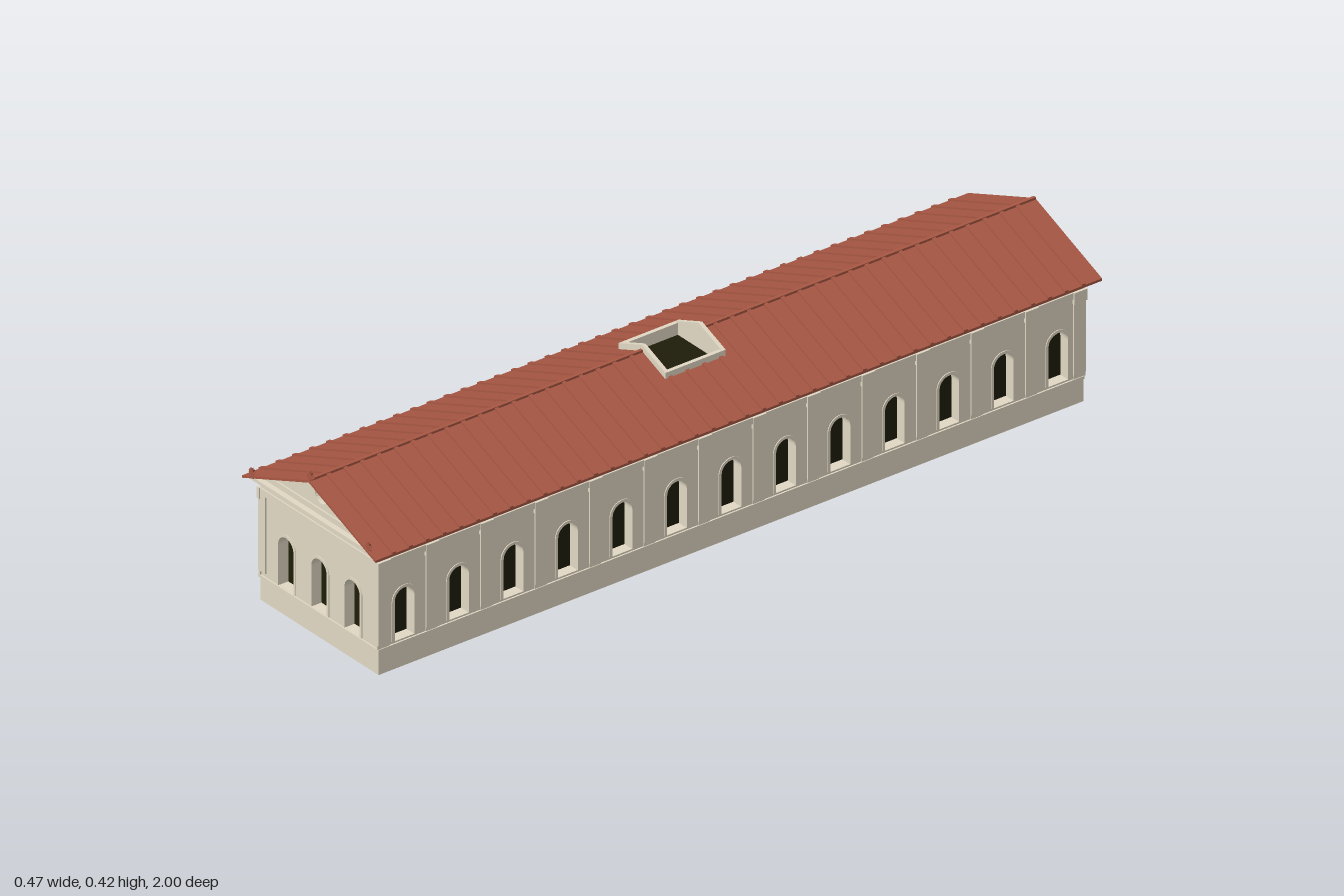
import * as THREE from 'three';

const mat = (name, color) => {
  const m = new THREE.MeshStandardMaterial({ color });
  m.name = name;
  return m;
};

export function createModel() {
  const stone = mat('stone', 0xe1d8c3);
  const tile = mat('terracotta', 0xa85743);
  const dark = mat('dark opening', 0x1e1c08);

  const model = new THREE.Group();
  model.name = 'longHall';
  const group = (name, parent = model) => {
    const g = new THREE.Group();
    g.name = name;
    parent.add(g);
    return g;
  };
  const add = (parent, name, geo, material, x = 0, y = 0, z = 0) => {
    const m = new THREE.Mesh(geo, material);
    m.name = name;
    m.position.set(x, y, z);
    parent.add(m);
    return m;
  };
  const box = (parent, name, x0, x1, y0, y1, z0, z1, material = stone) =>
    add(parent, name, new THREE.BoxGeometry(x1 - x0, y1 - y0, z1 - z0), material,
      (x0 + x1) / 2, (y0 + y1) / 2, (z0 + z1) / 2);
  const poly = (pts) => new THREE.Shape(pts.map(([x, y]) => new THREE.Vector2(x, y)));
  const extrude = (shape, depth) =>
    new THREE.ExtrudeGeometry(shape, { depth, bevelEnabled: false, curveSegments: 10 });

  // Hollow rectangular course running round the building
  const ring = (name, hx, hz, y0, y1, backZ = hz) => {
    const ix = 0.168, iz = 0.928;
    const s = poly([[-hx, -hz], [hx, -hz], [hx, backZ], [-hx, backZ]]);
    s.holes.push(poly([[-ix, -iz], [-ix, iz], [ix, iz], [ix, -iz]]));
    add(model, name, extrude(s, y1 - y0).rotateX(-Math.PI / 2), stone, 0, y0);
  };
  ring('plinth', 0.208, 0.97, 0, 0.06);
  ring('stringCourse', 0.212, 0.974, 0.058, 0.065, 0.97);
  ring('lintelBand', 0.212, 0.974, 0.267, 0.283);
  ring('frieze', 0.2085, 0.9705, 0.283, 0.303);
  ring('corniceBed', 0.217, 0.979, 0.295, 0.299);
  ring('cornice', 0.222, 0.984, 0.299, 0.307);
  ring('innerLining', 0.176, 0.936, 0.05, 0.32);

  // Arched outline used for openings and their surrounds
  const arch = (x, y0, top, r, Type = THREE.Shape) => {
    const p = new Type();
    p.moveTo(x - r, y0);
    p.lineTo(x + r, y0);
    p.lineTo(x + r, top - r);
    p.absarc(x, top - r, r, 0, Math.PI, false);
    p.lineTo(x - r, y0);
    return p;
  };

  // Wall panel facing local +z, with deep arched windows
  const DEPTH = 0.026;
  const wall = (name, half, centres, sill, rotation, distance) => {
    const g = group(name);
    g.rotation.y = rotation;
    const s = poly([[-half, 0.06], [half, 0.06], [half, 0.29], [-half, 0.29]]);
    for (const x of centres) s.holes.push(arch(x, sill, 0.196, 0.027, THREE.Path));
    add(g, 'wallPanel', extrude(s, DEPTH), stone, 0, 0, distance - DEPTH);
    for (const x of centres) {
      const frame = arch(x, sill, 0.203, 0.034);
      frame.holes.push(arch(x, sill + 0.0005, 0.196, 0.027, THREE.Path));
      add(g, 'windowSurround', extrude(frame, 0.003), stone, 0, 0, distance - 0.001);
      box(g, 'windowOpening', x - 0.03, x + 0.03, sill - 0.003, 0.2,
        distance - DEPTH - 0.003, distance - DEPTH, dark);
    }
    return g;
  };

  // Long sides: thirteen bays each, divided by shallow pilasters
  const bays = Array.from({ length: 13 }, (_, i) => (i - 6) * 0.15);
  for (const s of [1, -1]) {
    const g = wall(s > 0 ? 'leftWall' : 'rightWall', 0.97, bays, 0.07, s * Math.PI / 2, 0.208);
    for (let i = 0; i < 14; i++) {
      const c = THREE.MathUtils.clamp((i - 6.5) * 0.15, -0.958, 0.958);
      box(g, 'pilaster', c - 0.016, c + 0.016, 0.075, 0.268, 0.206, 0.212);
      box(g, 'pilasterBase', c - 0.016, c + 0.016, 0.064, 0.075, 0.206, 0.21);
      box(g, 'pilasterCapital', c - 0.018, c + 0.018, 0.255, 0.283, 0.206, 0.215);
    }
  }

  // Ends: arcaded front, plain back
  const front = wall('frontWall', 0.2, [-0.117, 0, 0.117], 0.066, 0, 0.97);
  const back = wall('backWall', 0.2, [], 0.066, Math.PI, 0.97);
  for (const g of [front, back]) {
    for (const e of [1, -1]) {
      box(g, 'cornerPilaster', e * 0.1995 - 0.0125, e * 0.1995 + 0.0125, 0.075, 0.268, 0.966, 0.974);
    }

    // Pediment with round opening
    const pts = [[-0.21, 0.3], [0.21, 0.3], [0.21, 0.315], [0, 0.398], [-0.21, 0.315]];
    const gable = poly(pts);
    const hole = new THREE.Path();
    hole.absarc(0, 0.356, 0.0225, 0, Math.PI * 2, true);
    gable.holes.push(hole);
    add(g, 'pediment', extrude(gable, DEPTH), stone, 0, 0, 0.966 - DEPTH);
    add(g, 'pedimentLining', extrude(poly(pts), 0.008), stone, 0, 0, 0.928);
    add(g, 'roundOpening', new THREE.CircleGeometry(0.025, 20), dark, 0, 0.356, 0.941);
    box(g, 'pedimentLedge', -0.2, 0.2, 0.306, 0.321, 0.955, 0.97);
  }

  // Roof pieces follow the pitch; lo and hi are offsets from the tile surface
  const roof = group('roof');
  const roofY = (x) => 0.404 - 0.4 * x;
  const slope = (name, s, x0, x1, z0, z1, lo, hi, material) => {
    const pts = [[x0, roofY(x0) + lo], [x1, roofY(x1) + lo], [x1, roofY(x1) + hi], [x0, roofY(x0) + hi]];
    const shape = poly(pts.map(([x, y]) => [s * x, y]));
    add(roof, name, extrude(shape, z1 - z0), material, 0, 0, z0);
  };
  const H = 0.076;
  for (const s of [1, -1]) {
    slope('roofSlope', s, 0, 0.236, H, 1, -0.006, 0, tile);
    slope('roofSlope', s, 0, 0.236, -1, -H, -0.006, 0, tile);
    slope('roofSlope', s, H, 0.236, -H, H, -0.006, 0, tile);
    for (const e of [1, -1]) {
      slope('rakingCornice', s, 0, 0.228, e * 0.974 - 0.014, e * 0.974 + 0.014, -0.011, -0.0058, stone);
    }
    for (let i = 0; i < 42; i++) {
      const z = (i - 20.5) * 0.0463;
      slope('tileRib', s, Math.abs(z) < 0.085 ? 0.08 : 0, 0.2362, z - 0.005, z + 0.005, -0.003, 0.004, tile);
    }
  }
  // Ridge cap, broken by the roof light
  for (const e of [1, -1]) box(roof, 'ridgeCap', -0.004, 0.004, 0.4, 0.408, e * 0.54 - 0.459, e * 0.54 + 0.459, tile);

  // Roof light: pitched curb open to the sky
  const light = group('roofLight');
  const curb = poly([[-0.083, 0.34], [0.083, 0.34], [0.083, 0.386], [0, 0.419], [-0.083, 0.386]]);
  for (const e of [1, -1]) {
    add(light, 'curbEnd', extrude(curb, 0.01), stone, 0, 0, e * 0.078 - 0.005);
    box(light, 'curbSide', e * 0.078 - 0.005, e * 0.078 + 0.005, 0.34, 0.386, -0.074, 0.074);
  }
  box(light, 'lightWell', -0.075, 0.075, 0.351, 0.356, -0.075, 0.075, dark);

  // Palmette ornaments on the front gable
  const star = [];
  for (let i = 0; i < 22; i++) {
    const a = (i / 22) * Math.PI * 2 + Math.PI / 2, r = i % 2 ? 0.007 : 0.0115;
    star.push([Math.cos(a) * r, Math.sin(a) * r]);
  }
  for (const [x, y] of [[0, 0.413], [0.205, 0.329], [-0.205, 0.329]]) {
    add(model, 'palmette', extrude(poly(star), 0.005), tile, x, y, 0.993);
    box(model, 'palmetteFoot', x - 0.004, x + 0.004, y - 0.014, y, 0.993, 0.997, tile);
  }
  return model;
}
